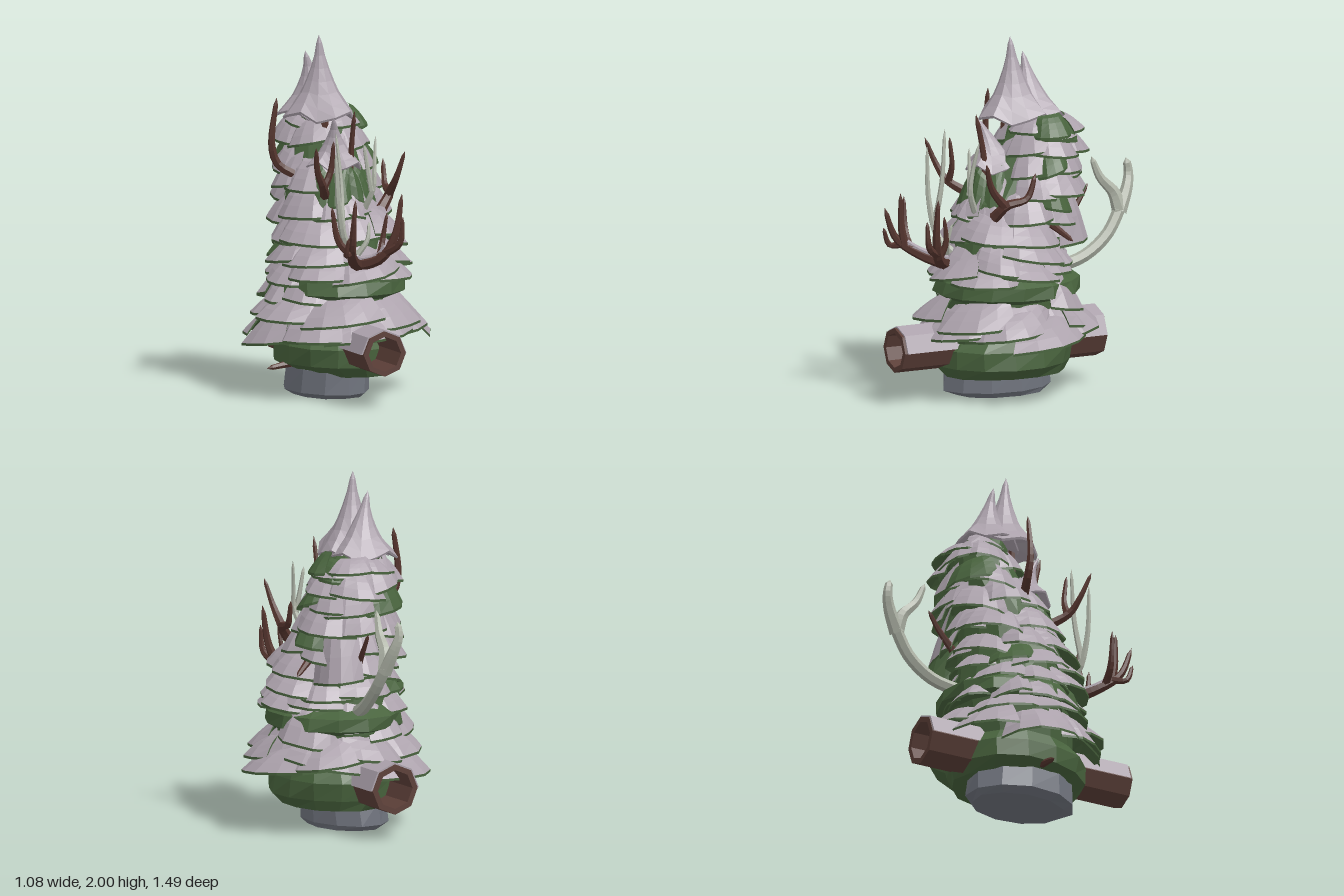
import * as THREE from 'three';

const mat = (name, color) => {
  const m = new THREE.MeshStandardMaterial({ color, flatShading: true });
  m.name = name;
  return m;
};

// small seeded generator for irregular edges
function seeded(seed) {
  return () => {
    seed = (seed * 16807) % 2147483647;
    return seed / 2147483647;
  };
}
const lerp = THREE.MathUtils.lerp;

export function createModel() {
  const root = new THREE.Group();
  root.name = 'snowyTree';
  const snow = mat('snow', 0xaca2ac);
  const green = mat('needleGreen', 0x48633d);
  const logBrown = mat('logBrown', 0x5c3f38);
  const antlerBrown = mat('antlerBrown', 0x55352e);
  const bone = mat('paleBone', 0xb0b5a8);
  const stone = mat('stone', 0x70747e);
  const rand = seeded(4711);

  const add = (name, geo, material) => {
    const mesh = new THREE.Mesh(geo, material);
    mesh.name = name;
    root.add(mesh);
  };
  const toGeometry = (...lists) => {
    const g = new THREE.BufferGeometry();
    g.setAttribute('position', new THREE.Float32BufferAttribute(lists.flat(), 3));
    let start = 0;
    lists.forEach((l, i) => { g.addGroup(start, l.length / 3, i); start += l.length / 3; });
    g.computeVertexNormals();
    return g;
  };
  const quad = (list, a, b, c, d) => list.push(...a, ...b, ...c, ...a, ...c, ...d);

  // irregular closed loft; each ring is [y, centreX, centreZ, radiusX, radiusZ]
  function loft(rings, sides, jitter) {
    const pts = rings.map(([y, cx, cz, rx, rz]) => Array.from({ length: sides }, (_, i) => {
      const a = (i / sides) * Math.PI * 2;
      const k = 1 + (rand() - 0.5) * jitter;
      return [cx + Math.sin(a) * rx * k, y, cz + Math.cos(a) * rz * k];
    }));
    const out = [];
    const [b, t] = [rings[0], rings[rings.length - 1]];
    for (let i = 0; i < sides; i++) {
      const n = (i + 1) % sides;
      for (let j = 0; j < rings.length - 1; j++) quad(out, pts[j][i], pts[j][n], pts[j + 1][n], pts[j + 1][i]);
      out.push(b[1], b[0], b[2], ...pts[0][n], ...pts[0][i]);
      const last = pts[rings.length - 1];
      out.push(t[1], t[0], t[2], ...last[i], ...last[n]);
    }
    return toGeometry(out);
  }

  // stone foot and needle core
  add('stoneFoot', loft([[0, -0.06, 0.05, 0.19, 0.27], [0.03, -0.07, 0.06, 0.22, 0.32], [0.16, -0.06, 0.07, 0.22, 0.31]], 11, 0.08), stone);
  add('needleCore', loft([
    [0.13, 0.03, 0.06, 0.26, 0.36], [0.19, 0, 0.06, 0.34, 0.4], [0.29, 0, 0.06, 0.34, 0.41],
    [0.36, 0, 0.05, 0.31, 0.34], [0.56, 0, 0.04, 0.33, 0.36], [0.59, 0.02, 0.04, 0.38, 0.42],
    [0.66, 0.02, 0.03, 0.37, 0.4], [0.71, 0, 0.04, 0.31, 0.33], [0.9, 0, 0.04, 0.28, 0.3],
    [1.1, -0.01, 0, 0.25, 0.26], [1.3, 0, -0.1, 0.21, 0.22], [1.5, 0, -0.16, 0.16, 0.16],
    [1.62, -0.04, -0.1, 0.07, 0.08],
  ], 14, 0.06), green);

  // drooping boughs: snow on top, needles on the edge and underneath
  function tier(name, { cx = 0, cz, r, rz = r, top, low, n, tilt = 0, bare = 0.08, from = rand() * 6, arc = Math.PI * 2 }) {
    const snowTris = [], greenTris = [];
    const U = 5, V = 4, T = 0.014;
    for (let p = 0; p < n; p++) {
      const mid = from + ((p + 0.5 + (rand() - 0.5) * 0.3) / n) * arc;
      const span = (arc / n) * (1.3 + rand() * 0.4);
      const reach = 0.92 + rand() * 0.16, lift = (rand() - 0.5) * 0.06, slant = (rand() - 0.5) * 0.18;
      const peak = 0.35 + rand() * 0.3;
      const rag = Array.from({ length: U + 1 }, () => 0.97 + rand() * 0.06);
      const at = (u, v, under) => {
        const s = u / U, w = v / V;
        const a = mid + (s - 0.5) * span * (0.8 + 0.2 * w);
        const k = lerp(0.58, reach * rag[u] * (1 - 0.7 * (s - peak) ** 2), w);
        const y = lerp(top, low, w ** 1.5) + lift + slant * (s - 0.5) + tilt * Math.sin(a) * w;
        return [cx + Math.sin(a) * r * k, y - (under ? T : 0), cz + Math.cos(a) * rz * k];
      };
      const face = rand() < bare ? greenTris : snowTris;
      for (let v = 0; v < V; v++) {
        for (let u = 0; u < U; u++) {
          quad(face, at(u, v + 1), at(u + 1, v + 1), at(u + 1, v), at(u, v));
          quad(greenTris, at(u, v, 1), at(u + 1, v, 1), at(u + 1, v + 1, 1), at(u, v + 1, 1));
        }
        quad(greenTris, at(0, v, 1), at(0, v + 1, 1), at(0, v + 1), at(0, v));
        quad(greenTris, at(U, v), at(U, v + 1), at(U, v + 1, 1), at(U, v, 1));
      }
      for (let u = 0; u < U; u++) quad(greenTris, at(u, V, 1), at(u + 1, V, 1), at(u + 1, V), at(u, V));
    }
    add(name, toGeometry(snowTris, greenTris), [snow, green]);
  }
  [
    { cz: 0.06, r: 0.56, rz: 0.51, top: 0.5, low: 0.34, n: 7, tilt: 0.04, bare: 0 },
    { cz: 0.05, r: 0.5, rz: 0.5, top: 0.58, low: 0.43, n: 7, tilt: -0.02, bare: 0 },
    // snow over the back and right half of the needle band
    { cz: 0.03, r: 0.44, rz: 0.42, top: 0.73, low: 0.56, n: 5, from: 2.7, arc: 3.0, bare: 0 },
    { cz: 0.06, r: 0.43, rz: 0.41, top: 0.82, low: 0.69, n: 8, tilt: 0.02, bare: 0 },
    { cz: 0.05, r: 0.42, rz: 0.39, top: 0.92, low: 0.78, n: 8 },
    { cz: 0.03, r: 0.39, rz: 0.37, top: 1.04, low: 0.89, n: 7, tilt: 0.02 },
    { cz: -0.02, r: 0.36, rz: 0.36, top: 1.17, low: 1.0, n: 7 },
    { cz: -0.1, r: 0.33, rz: 0.32, top: 1.3, low: 1.13, n: 7 },
    { cz: -0.15, r: 0.3, rz: 0.29, top: 1.42, low: 1.26, n: 6 },
    { cz: -0.17, r: 0.28, rz: 0.26, top: 1.51, low: 1.38, n: 6 },
    { cx: 0.02, cz: -0.18, r: 0.23, rz: 0.22, top: 1.55, low: 1.48, n: 6, bare: 0.3 },
    // large hanging boughs on the left rear
    { cz: 0.03, r: 0.46, rz: 0.44, top: 0.76, low: 0.51, n: 1, from: 1.85, arc: 0.65, bare: 0 },
    { cz: -0.03, r: 0.39, rz: 0.41, top: 1.26, low: 0.86, n: 1, from: 2.1, arc: 0.7, bare: 0 },
    // bare boughs on the left and under the front cap, with snow below
    { cz: -0.08, r: 0.35, rz: 0.34, top: 1.27, low: 1.06, n: 1, from: 1.55, arc: 0.45, bare: 1 },
    { cz: -0.14, r: 0.31, rz: 0.3, top: 1.45, low: 1.31, n: 1, from: 1.2, arc: 0.6, bare: 1 },
    { cx: 0.02, cz: -0.18, r: 0.25, rz: 0.24, top: 1.57, low: 1.46, n: 2, from: 1.0, arc: 1.3, bare: 1 },
    { cx: -0.02, cz: 0.1, r: 0.2, rz: 0.2, top: 1.28, low: 1.1, n: 4, from: -1.4, arc: 2.8, bare: 1 },
    { cx: -0.02, cz: 0.1, r: 0.22, rz: 0.23, top: 1.13, low: 1.01, n: 5, from: -1.6, arc: 3.2, bare: 0 },
  ].forEach((t, i) => tier('boughTier' + (i + 1), t));

  // pointed snow caps with flared, ragged rims
  function cap(name, [bx, by, bz], [tx, ty, tz], r) {
    const h = ty - by;
    const profile = [[0.3, 0.1], [0.97, -0.03], [1, 0], [0.78, 0.13], [0.56, 0.27], [0.4, 0.42], [0.26, 0.58], [0.15, 0.74], [0.08, 0.9], [0, 1]];
    const g = new THREE.LatheGeometry(profile.map(([a, b]) => new THREE.Vector2(a * r, b * h)), 12);
    const p = g.attributes.position;
    for (let i = 0; i < p.count; i++) {
      const x = p.getX(i), y = p.getY(i), z = p.getZ(i), f = (y / h) ** 2;
      const a = Math.atan2(x, z), wave = Math.hypot(x, z) / r;
      const k = 1 + 0.08 * wave * Math.sin(a * 3 + 1);
      p.setXYZ(i, lerp(bx, tx, f) + x * k, by + y + 0.03 * wave * wave * Math.sin(a * 4), lerp(bz, tz, f) + z * k);
    }
    g.computeVertexNormals();
    add(name, g, snow);
  }
  cap('topCap', [-0.055, 1.56, -0.04], [-0.07, 2, -0.03], 0.2);
  cap('rearTopCap', [-0.06, 1.56, -0.15], [-0.11, 1.9, -0.13], 0.19);
  cap('frontCap', [-0.03, 1.29, 0.1], [-0.07, 1.56, 0.18], 0.16);

  // hollow logs running along z, with snow lying on their upper halves
  function log(name, x, y, z0, z1, r, s0, s1) {
    const shell = (r0, r1, a, b) => [[r0, a], [r1, a], [r1, b], [r0, b], [r0, a]].map(([q, s]) => new THREE.Vector2(q, s));
    const bark = new THREE.LatheGeometry(shell(r * 0.77, r, z0, z1), 8).rotateX(Math.PI / 2).translate(x, y, 0);
    const cover = new THREE.LatheGeometry(shell(r * 0.98, r * 1.07, s0, s1), 4, Math.PI / 2, Math.PI)
      .rotateX(Math.PI / 2).translate(x, y, 0);
    add(name, bark, logBrown);
    add(name + 'Snow', cover, snow);
  }
  log('frontLog', 0, 0.305, 0.3, 0.74, 0.127, 0.3, 0.725);
  log('backLog', -0.05, 0.285, -0.56, -0.2, 0.142, -0.555, -0.2);

  // tapered branches for antlers and twigs
  function branch(name, material, r0, r1, ...pts) {
    const curve = new THREE.CatmullRomCurve3(pts.map((q) => new THREE.Vector3(...q)));
    const seg = pts.length * 3, sides = 6;
    const g = new THREE.TubeGeometry(curve, seg, 1, sides);
    const p = g.attributes.position, v = new THREE.Vector3();
    for (let i = 0; i < p.count; i++) {
      const t = Math.floor(i / (sides + 1)) / seg, c = curve.getPointAt(t);
      v.fromBufferAttribute(p, i).sub(c).multiplyScalar(t === 1 ? 0.001 : lerp(r0, r1, t)).add(c);
      p.setXYZ(i, v.x, v.y, v.z);
    }
    g.computeVertexNormals();
    add(name, g, material);
  }
  // back antler with a broad fork
  branch('backAntler', bone, 0.036, 0.034, [0.03, 0.68, -0.25], [0.07, 0.74, -0.42], [0.08, 0.85, -0.56], [0.06, 1.02, -0.67]);
  branch('backAntlerTine', bone, 0.044, 0.02, [0.065, 0.97, -0.645], [0.04, 1.1, -0.71], [0.02, 1.18, -0.73], [0.02, 1.26, -0.715]);
  branch('backAntlerTine', bone, 0.044, 0.014, [0.065, 0.98, -0.65], [0.05, 1.08, -0.62], [0.04, 1.17, -0.54], [0.03, 1.29, -0.49]);
  // front antler pair with a dusting of snow along the beams
  const B = antlerBrown;
  branch('frontAntlerLeftBeam', B, 0.038, 0.011, [-0.02, 0.76, 0.4], [0.08, 0.81, 0.5], [0.14, 0.93, 0.55], [0.18, 1.17, 0.56]);
  branch('frontAntlerLeftTine', B, 0.026, 0.009, [0.1, 0.84, 0.52], [0.15, 0.9, 0.6], [0.16, 1.05, 0.62]);
  branch('frontAntlerLeftTine', B, 0.022, 0.008, [0.07, 0.81, 0.5], [0.1, 0.9, 0.47], [0.12, 1.06, 0.49]);
  branch('frontAntlerRightBeam', B, 0.038, 0.011, [-0.02, 0.76, 0.4], [-0.1, 0.81, 0.52], [-0.16, 0.9, 0.64], [-0.17, 1.08, 0.71]);
  branch('frontAntlerRightTine', B, 0.026, 0.009, [-0.12, 0.84, 0.57], [-0.2, 0.92, 0.56], [-0.24, 1.12, 0.55]);
  branch('frontAntlerRightTine', B, 0.026, 0.009, [-0.14, 0.86, 0.6], [-0.14, 0.98, 0.62], [-0.13, 1.16, 0.63]);
  branch('frontAntlerRightTine', B, 0.022, 0.009, [-0.15, 0.87, 0.6], [-0.2, 0.86, 0.66], [-0.2, 0.96, 0.7]);
  branch('frontAntlerLeftSnow', snow, 0.026, 0.014, [-0.02, 0.785, 0.4], [0.06, 0.815, 0.475], [0.11, 0.89, 0.525]);
  branch('frontAntlerRightSnow', snow, 0.026, 0.014, [-0.02, 0.785, 0.4], [-0.1, 0.833, 0.52], [-0.155, 0.91, 0.625]);
  // side antlers and twigs
  branch('rightTallAntler', B, 0.028, 0.012, [-0.22, 1.22, 0], [-0.32, 1.29, -0.03], [-0.355, 1.4, -0.03], [-0.325, 1.66, -0.03]);
  branch('rightAntler', B, 0.03, 0.01, [-0.13, 1.12, 0.2], [-0.19, 1.2, 0.31], [-0.24, 1.29, 0.35], [-0.27, 1.43, 0.4]);
  branch('rightAntlerTine', B, 0.022, 0.009, [-0.18, 1.19, 0.3], [-0.14, 1.28, 0.3], [-0.13, 1.45, 0.32]);
  branch('leftAntler', B, 0.032, 0.011, [0.2, 1.04, 0.22], [0.27, 1.12, 0.17], [0.29, 1.15, 0.06], [0.3, 1.29, 0.01]);
  branch('leftAntlerTine', B, 0.028, 0.01, [0.26, 1.11, 0.18], [0.27, 1.22, 0.27], [0.3, 1.37, 0.32]);
  branch('frontTwig', B, 0.022, 0.012, [0.03, 1.1, 0.18], [0.03, 1.35, 0.19], [0.03, 1.6, 0.24]);
  branch('topTwig', B, 0.024, 0.02, [-0.05, 1.4, 0.02], [-0.06, 1.62, 0.01]);
  branch('backTwig', B, 0.022, 0.01, [0.05, 0.93, -0.3], [0.06, 1.05, -0.39], [0.06, 1.15, -0.45]);
  branch('leftTwig', B, 0.022, 0.012, [0.25, 0.98, -0.12], [0.37, 0.9, -0.19]);
  branch('lowTwig', B, 0.025, 0.012, [-0.25, 0.19, 0.08], [-0.43, 0.16, 0.08]);
  // pale antlers at the front
  branch('paleAntler', bone, 0.024, 0.009, [-0.02, 0.82, 0.36], [-0.1, 0.9, 0.41], [-0.15, 1.1, 0.44], [-0.17, 1.4, 0.44]);
  branch('paleAntlerTine', bone, 0.018, 0.008, [-0.12, 0.97, 0.42], [-0.11, 1.2, 0.38], [-0.13, 1.5, 0.35]);
  branch('paleAntlerTine', bone, 0.018, 0.008, [-0.02, 0.82, 0.4], [0.03, 0.9, 0.42], [0.05, 1.0, 0.4]);
  branch('paleSideAntler', bone, 0.02, 0.008, [0.07, 1.03, 0.26], [0.11, 1.18, 0.32], [0.12, 1.3, 0.31], [0.14, 1.46, 0.28]);
  branch('paleSideTine', bone, 0.017, 0.008, [0.1, 1.16, 0.32], [0.08, 1.28, 0.31], [0.06, 1.42, 0.3]);

  return root;
}
